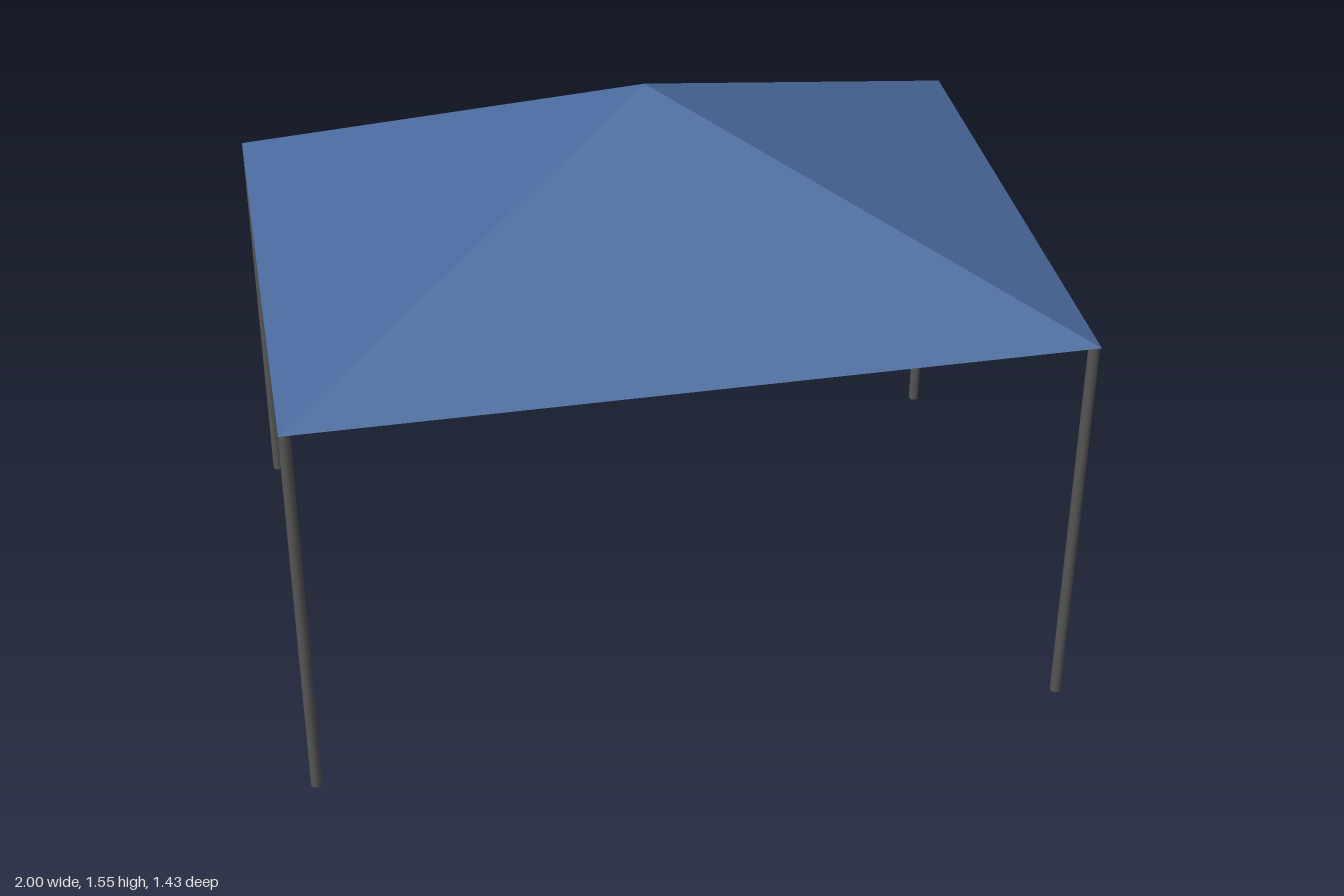
import * as THREE from 'three';

const HALF_X = 1, HALF_Z = 0.713;      // canopy footprint
const EAVE = 1.1, PEAK = 1.555;        // canopy heights
const POLE_R = 0.0145;

export function createModel() {
  const group = new THREE.Group();
  group.name = 'canopyTent';

  const fabric = new THREE.MeshStandardMaterial({ color: 0x4a6a9c, flatShading: true });
  const metal = new THREE.MeshStandardMaterial({ color: 0x555555 });

  // Canopy: closed four-sided pyramid with its corners over the poles
  const rise = PEAK - EAVE;
  const roof = new THREE.ConeGeometry(Math.SQRT2, rise, 4)
    .rotateY(Math.PI / 4)
    .scale(HALF_X, 1, HALF_Z)
    .translate(0, EAVE + rise / 2, 0);
  const canopy = new THREE.Mesh(roof, fabric);
  canopy.name = 'canopy';
  group.add(canopy);

  // Poles: one in each corner, flush with the canopy edges
  const poleGeometry = new THREE.CylinderGeometry(POLE_R, POLE_R, EAVE, 12).translate(0, EAVE / 2, 0);
  for (const [sx, xName] of [[1, 'Left'], [-1, 'Right']]) {
    for (const [sz, zName] of [[1, 'front'], [-1, 'back']]) {
      const pole = new THREE.Mesh(poleGeometry, metal);
      pole.name = `${zName}${xName}Pole`;
      pole.position.set(sx * (HALF_X - POLE_R), 0, sz * (HALF_Z - POLE_R));
      group.add(pole);
    }
  }
  return group;
}
